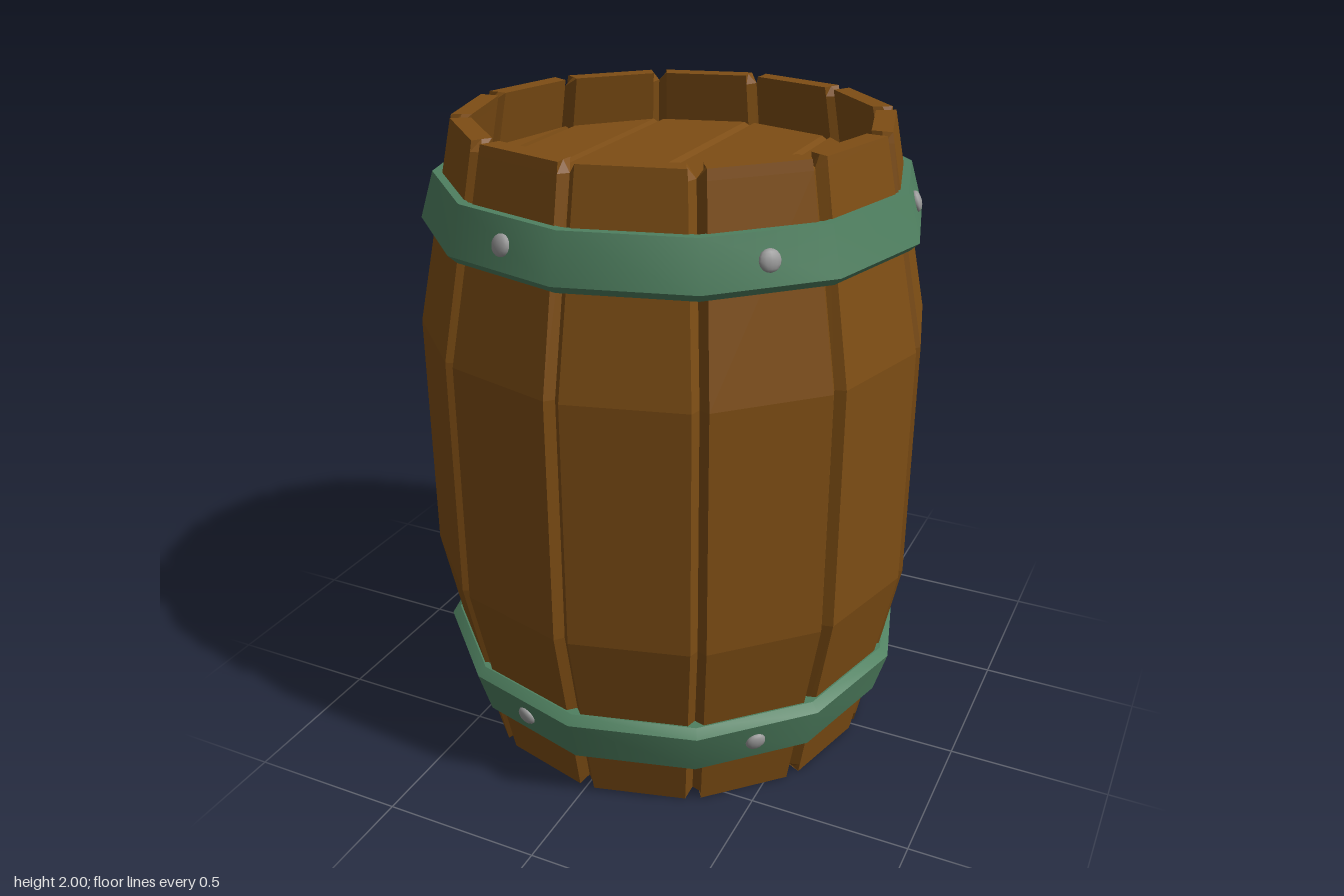
import * as THREE from 'three';
import { toCreasedNormals } from 'three/addons/utils/BufferGeometryUtils.js';

const SIDES = 12;
const STEP = (Math.PI * 2) / SIDES;
const wood = new THREE.MeshStandardMaterial({ color: 0x7d4d14 });
const green = new THREE.MeshStandardMaterial({ color: 0x4f8060 });
const steel = new THREE.MeshStandardMaterial({ color: 0x999999 });

function add(parent, name, geometry, material) {
  const mesh = new THREE.Mesh(geometry, material);
  mesh.name = name;
  parent.add(mesh);
  return mesh;
}

// Bent stave: six-sided sections whose ridged sides meet the neighbouring staves
function staveGeometry() {
  const thick = 0.06;
  const half = [
    // y, outer distance, outer half width, ridge half width
    [0, 0.64, 0.146, 0.137],
    [0.03, 0.646, 0.148, null],
    [0.62, 0.762, 0.18, null],
  ];
  const rows = [...half, ...half.map(([y, ...r]) => [2 - y, ...r]).reverse()];
  const pos = [];
  const index = [];
  for (const [y, a, h, ridge] of rows) {
    const m = a - thick / 2;
    const w = ridge ?? m * Math.tan(STEP / 2);
    const i = (a - thick) * 0.23;
    for (const [x, z] of [[-h, a], [h, a], [w, m], [i, a - thick], [-i, a - thick], [-w, m]]) pos.push(x, y, z);
  }
  const last = (rows.length - 1) * 6;
  for (let r = 0; r < last; r += 6) {
    for (let k = 0; k < 6; k++) {
      const n = (k + 1) % 6;
      index.push(r + k, r + n, r + 6 + n, r + k, r + 6 + n, r + 6 + k);
    }
  }
  for (let k = 1; k < 5; k++) {
    index.push(0, k + 1, k, last, last + k, last + k + 1);
  }
  const g = new THREE.BufferGeometry();
  g.setAttribute('position', new THREE.Float32BufferAttribute(pos, 3));
  g.setIndex(index);
  const flat = g.toNonIndexed();
  flat.computeVertexNormals();
  return flat;
}

// Round end made of bevelled boards, split at the corners of a 12-sided outline
function makeLid(name, centerY) {
  const lid = new THREE.Group();
  lid.name = name;
  const R = 0.605;
  const bevel = 0.02;
  for (let k = 0; k < SIDES / 2; k++) {
    const t0 = -Math.PI / 2 + k * STEP;
    const t1 = t0 + STEP;
    const [x0, z0, x1, z1] = [Math.sin(t0), Math.cos(t0), Math.sin(t1), Math.cos(t1)].map((v) => v * R);
    const pts = [[x0, -z0], [x1, -z1], [x1, z1], [x0, z0]]
      .filter(([, z], i) => !(Math.abs(z) < 1e-6 && i > 1))
      .map(([x, z]) => new THREE.Vector2(x, z));
    const g = new THREE.ExtrudeGeometry(new THREE.Shape(pts), {
      depth: 0.03, bevelEnabled: true, bevelThickness: bevel, bevelSize: bevel, bevelOffset: -bevel, bevelSegments: 1,
    });
    g.translate(0, 0, -0.015);
    g.rotateX(-Math.PI / 2);
    add(lid, 'lidBoard', g, wood);
  }
  lid.position.y = centerY;
  return lid;
}

// Tapered hoop with a rivet on every second side
function makeHoop(name) {
  const hoop = new THREE.Group();
  hoop.name = name;
  const profile = [[0.69, 0.165], [0.72, 0.165], [0.762, 0.305], [0.735, 0.33], [0.70, 0.33], [0.69, 0.165]]
    .map(([r, y]) => new THREE.Vector2(r, y));
  add(hoop, 'hoopBand', toCreasedNormals(new THREE.LatheGeometry(profile, SIDES), 0.6), green);

  const rivet = new THREE.SphereGeometry(0.032, 12, 8);
  rivet.scale(1, 1, 0.5);
  for (let k = 0; k < SIDES; k += 2) {
    const angle = STEP * (k + 1.5);
    const mesh = add(hoop, 'rivet', rivet, steel);
    mesh.position.set(Math.sin(angle) * 0.718, 0.238, Math.cos(angle) * 0.718);
    mesh.rotation.set(0.28, angle, 0, 'YXZ');
  }
  return hoop;
}

export function createModel() {
  const barrel = new THREE.Group();
  barrel.name = 'barrel';

  // Staves
  const stave = staveGeometry();
  for (let k = 0; k < SIDES; k++) {
    add(barrel, 'stave', stave, wood).rotation.y = STEP * (k + 0.5);
  }

  // Ends
  barrel.add(makeLid('topLid', 1.815), makeLid('bottomLid', 0.185));

  // Hoops: the upper one is the lower one turned over about the z axis
  const lower = makeHoop('lowerHoop');
  const upper = makeHoop('upperHoop');
  upper.rotation.z = Math.PI;
  upper.rotation.y = 0;
  upper.position.y = 2.005;
  // Line the upper rivets up with the lower ones
  const spin = new THREE.Group();
  spin.name = 'upperHoopTurn';
  spin.rotation.y = STEP;
  spin.add(upper);
  barrel.add(lower, spin);
  return barrel;
}
